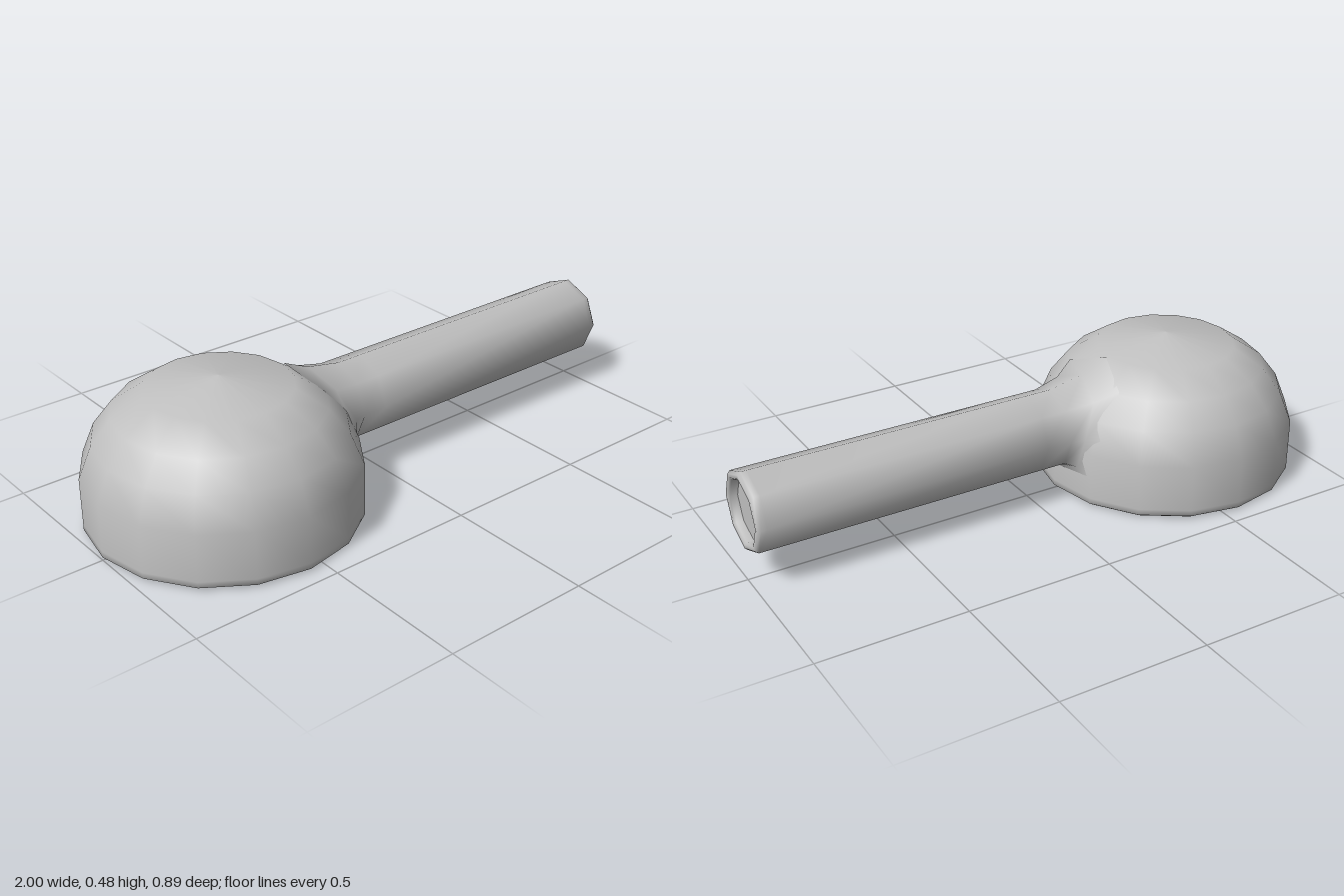
import * as THREE from 'three';

const DOME_X = -0.555, TUBE_Y = 0.24, TUBE_R = 0.136, SIDES = 8;

export function createModel() {
  const group = new THREE.Group();
  const grey = new THREE.MeshStandardMaterial({ color: 0xc0c0c0 });
  grey.name = 'plain grey';

  const add = (name, geometry, x = 0, y = 0) => {
    const mesh = new THREE.Mesh(geometry, grey);
    mesh.name = name;
    mesh.position.set(x, y, 0);
    group.add(mesh);
  };

  // Dome shell: inner lip, rounded foot, straight wall and faceted crown
  const profile = [
    [0.36, 0.03], [0.366, 0.008], [0.38, 0], [0.43, 0], [0.445, 0.01], [0.445, 0.03],
    [0.445, 0.19], [0.402, 0.295], [0.338, 0.377], [0.235, 0.445], [0, 0.48],
  ].map(([r, y]) => new THREE.Vector2(r, y));
  add('dome', new THREE.LatheGeometry(profile, 16), DOME_X);

  // Recessed disc under the dome
  add('domeBase', new THREE.CircleGeometry(0.362, 16).rotateX(Math.PI / 2), DOME_X, 0.03);

  // Half of a cross-section, top to bottom, mirrored to the other side
  const mirrored = (half) => [...half, ...half.slice(1, 4).reverse().map(([x, y, z]) => [x, y, -z])];
  const circle = (x, r) => Array.from({ length: SIDES }, (_, k) => {
    const a = (k / SIDES) * Math.PI * 2;
    return [x, TUBE_Y + r * Math.cos(a), r * Math.sin(a)];
  });

  // Tube: flares out of the dome, runs straight, then turns in at the open end
  const rings = [
    mirrored([[-0.31, 0.443, 0], [-0.263, 0.385, 0.15], [-0.175, 0.24, 0.18], [-0.146, 0.1, 0.165], [-0.11, 0.093, 0]]),
    mirrored([[-0.215, 0.4, 0], [-0.19, 0.352, 0.115], [-0.135, 0.24, 0.148], [-0.125, 0.13, 0.118], [-0.108, 0.1, 0]]),
    circle(-0.09, TUBE_R), circle(0, TUBE_R), circle(0.97, TUBE_R), circle(0.99, TUBE_R),
    circle(1, 0.127), circle(1, 0.114), circle(0.993, 0.107), circle(0.97, 0.105),
  ];
  const index = [];
  for (let i = 0; i < rings.length - 1; i++) {
    for (let k = 0; k < SIDES; k++) {
      const a = i * SIDES + k, b = i * SIDES + (k + 1) % SIDES;
      index.push(a, b, a + SIDES, b, b + SIDES, a + SIDES);
    }
  }
  const tube = new THREE.BufferGeometry();
  tube.setAttribute('position', new THREE.Float32BufferAttribute(rings.flat(2), 3));
  tube.setIndex(index);
  tube.computeVertexNormals();
  // Root normals follow the dome so the join blends
  rings[0].forEach(([x, y, z], k) => {
    const n = new THREE.Vector3(x - DOME_X, Math.max(0, y - 0.12), z).normalize();
    tube.attributes.normal.setXYZ(k, n.x, n.y, n.z);
  });
  add('tube', tube);

  // Flat disc set inside the tube end
  const cap = new THREE.CircleGeometry(0.105, SIDES).rotateY(Math.PI / 2);
  add('tubeEnd', cap, 0.97, TUBE_Y);

  return group;
}
